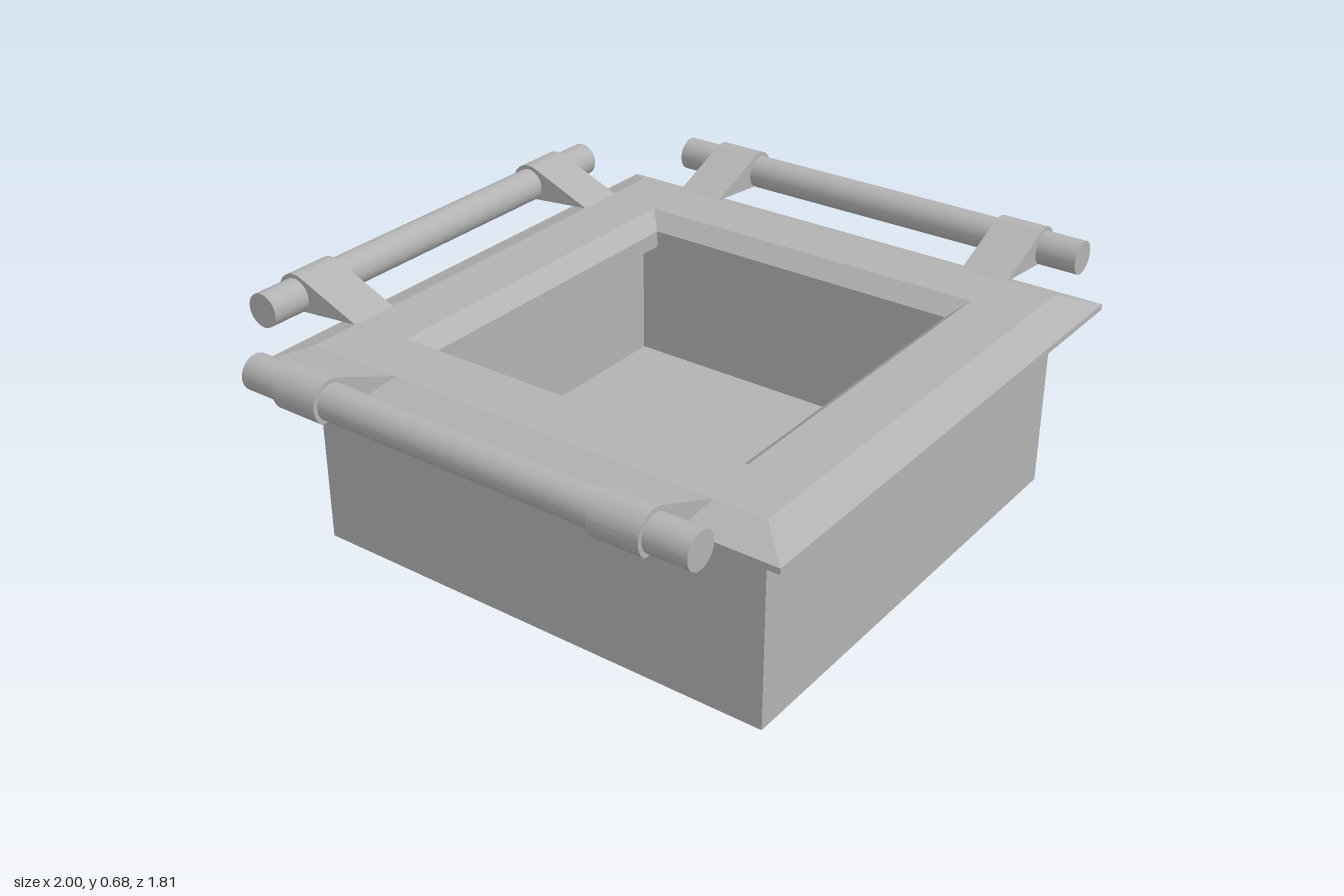
import * as THREE from 'three';
import { toCreasedNormals } from 'three/addons/utils/BufferGeometryUtils.js';

const HALF = 0.715;      // half width of the square box
const BAR_OUT = 0.938;   // bar axis, distance from the box centre
const BAR_Y = 0.62;

const grey = new THREE.MeshStandardMaterial({ color: 0xb2b2b2 });
grey.name = 'grey metal';
const greySheet = new THREE.MeshStandardMaterial({ color: 0xb2b2b2, side: THREE.DoubleSide });
greySheet.name = 'grey metal sheet';

function mesh(name, geometry, material = grey) {
  const m = new THREE.Mesh(geometry, material);
  m.name = name;
  return m;
}

// Sweeps a [half width, height] profile around a square
function squareSweep(profile) {
  const points = profile.map(([h, y]) => new THREE.Vector2(h * Math.SQRT2, y));
  const g = new THREE.LatheGeometry(points, 4, Math.PI / 4).toNonIndexed();
  g.computeVertexNormals();
  return g;
}

// Arm that leaves the wall and wraps tangentially round the bar
function bracketGeometry(width) {
  const r = 0.062;
  const tangentAngle = (y, side) => {
    const dx = BAR_OUT - HALF, dy = BAR_Y - y;
    return Math.atan2(dy, dx) + side * (Math.asin(r / Math.hypot(dx, dy)) + Math.PI / 2);
  };
  const shape = new THREE.Shape();
  shape.moveTo(HALF, 0.375);
  shape.absarc(BAR_OUT, BAR_Y, r, tangentAngle(0.375, -1), tangentAngle(0.595, 1), false);
  shape.lineTo(HALF, 0.595);
  shape.closePath();
  const g = new THREE.ExtrudeGeometry(shape, { depth: width, bevelEnabled: false, curveSegments: 20 });
  g.translate(0, 0, -width / 2);
  return toCreasedNormals(g, 0.4);
}

// One handle reaching out along +x: a bar held by two brackets
function createHandle(name) {
  const handle = new THREE.Group();
  handle.name = name;
  const bar = mesh('bar', new THREE.CylinderGeometry(0.05, 0.05, 1.38, 32));
  bar.rotation.x = Math.PI / 2;
  bar.position.set(BAR_OUT, BAR_Y, 0);
  handle.add(bar);
  for (const side of [-1, 1]) {
    const bracket = mesh('bracket', bracketGeometry(0.145));
    bracket.position.z = side * 0.495;
    handle.add(bracket);
  }
  return handle;
}

export function createModel() {
  const model = new THREE.Group();
  model.name = 'openBoxWithHandles';

  const assembly = new THREE.Group();
  assembly.name = 'assembly';
  assembly.position.z = 0.09;
  model.add(assembly);

  // Thin sheet box, open at the top
  assembly.add(mesh('box', squareSweep([[0, 0], [HALF, 0], [HALF, 0.5]]), greySheet));

  // Rim with bevelled outer edge and sloped opening
  assembly.add(mesh('rim', squareSweep([
    [0.495, 0.5], [HALF, 0.5], [0.815, 0.54], [0.815, 0.557],
    [HALF, 0.595], [0.545, 0.595], [0.495, 0.55], [0.495, 0.5],
  ])));

  // Handles on the left, back and right
  ['leftHandle', 'backHandle', 'rightHandle'].forEach((name, i) => {
    const handle = createHandle(name);
    handle.rotation.y = i * Math.PI / 2;
    assembly.add(handle);
  });

  return model;
}
